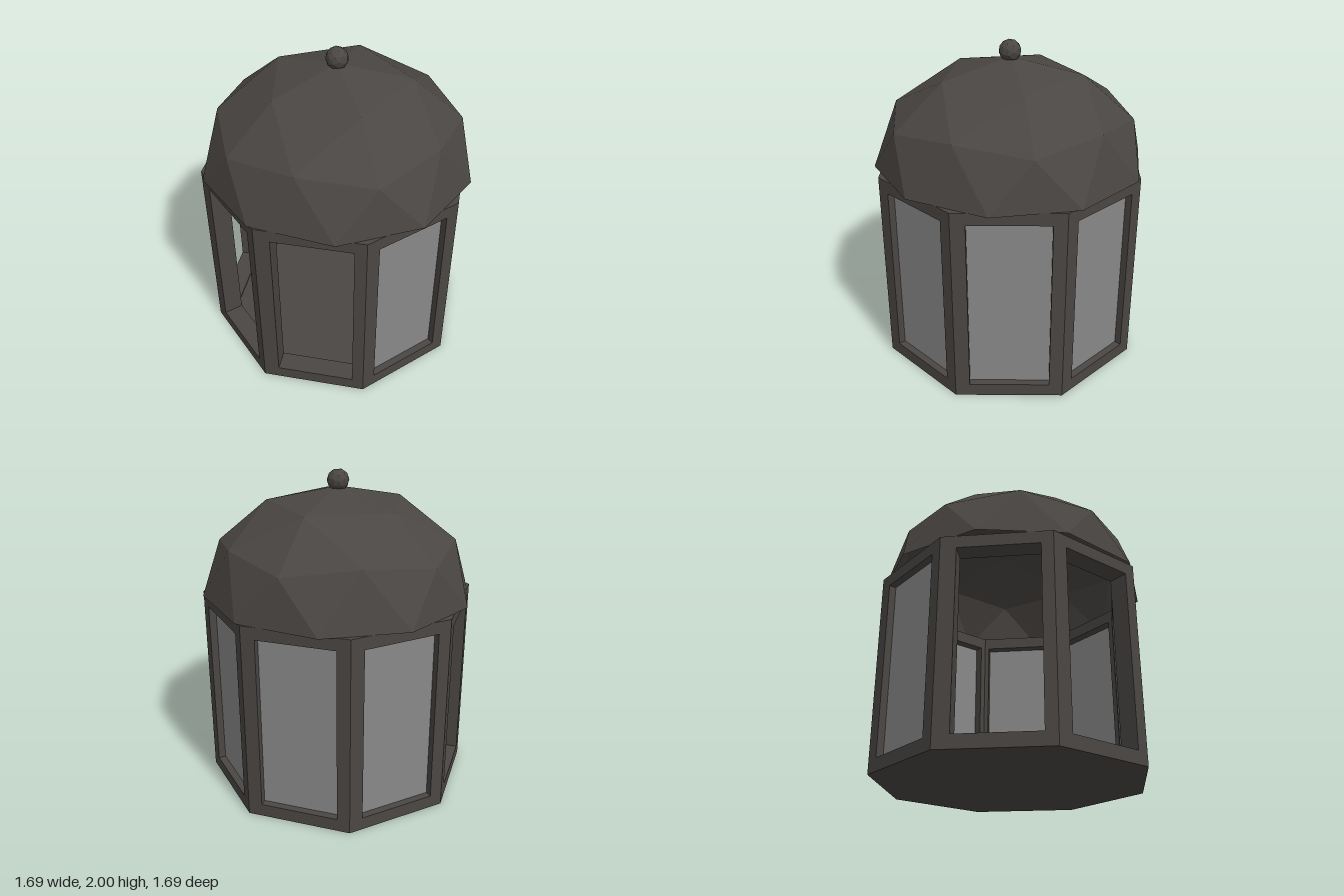
import * as THREE from 'three';

const RADIUS = 0.845, WALL_TOP = 1.247, THICK = 0.125;
const APOTHEM = RADIUS * Math.cos(Math.PI / 8);
const HALF = RADIUS * Math.sin(Math.PI / 8);
const SILL = 0.08, LINTEL = 1.17, MARGIN = 0.083;

const dark = new THREE.MeshStandardMaterial({ color: 0x4a4643, flatShading: true });
const darkShell = new THREE.MeshStandardMaterial({ color: 0x4a4643, flatShading: true, side: THREE.DoubleSide });
const pane = new THREE.MeshStandardMaterial({ color: 0x888888, flatShading: true });

function part(name, geometry, material) {
  const mesh = new THREE.Mesh(geometry, material);
  mesh.name = name;
  return mesh;
}

function rectangle(Type, x0, x1, y0, y1) {
  return new Type([[x0, y0], [x1, y0], [x1, y1], [x0, y1]].map(p => new THREE.Vector2(...p)));
}

// One wall frame with a window hole, its ends mitred to meet its neighbours
function frameGeometry(shift) {
  const shape = rectangle(THREE.Shape, -HALF, HALF, 0, WALL_TOP);
  shape.holes.push(rectangle(THREE.Path, -HALF + MARGIN + shift, HALF - MARGIN + shift, SILL, LINTEL));
  const geo = new THREE.ExtrudeGeometry(shape, { depth: THICK, bevelEnabled: false });
  const pos = geo.attributes.position;
  const miter = THICK * Math.tan(Math.PI / 8);
  for (let i = 0; i < pos.count; i++) {
    const x = pos.getX(i);
    if (pos.getZ(i) < 0.001 && Math.abs(x) > HALF - 0.001) pos.setX(i, x - Math.sign(x) * miter);
  }
  geo.translate(0, 0, APOTHEM - THICK);
  geo.computeVertexNormals();
  return geo;
}

// Faceted half-dome: a once-divided icosahedron with a vertex at the top
function domeGeometry() {
  const height = 0.65, out = [];
  const at = (polar, azimuth) => {
    const p = THREE.MathUtils.degToRad(polar), a = THREE.MathUtils.degToRad(azimuth);
    const r = RADIUS * Math.sin(p);
    return [r * Math.sin(a), WALL_TOP + height * Math.cos(p), r * Math.cos(a)];
  };
  for (let k = 0; k < 5; k++) {
    const a = 6 + 72 * k;
    const top = at(0, 0);
    const upper = at(31.72, a), upperNext = at(31.72, a + 72);
    const corner = at(63.43, a), cornerNext = at(63.43, a + 72);
    const middle = at(58.28, a + 36);
    const rimBefore = at(90, a - 18), rim1 = at(90, a + 18), rim2 = at(90, a + 54);
    out.push(
      top, upper, upperNext,
      upper, corner, middle,
      upper, middle, upperNext,
      upperNext, middle, cornerNext,
      corner, rimBefore, rim1,
      corner, rim1, middle,
      middle, rim1, rim2,
      middle, rim2, cornerNext
    );
  }
  const geo = new THREE.BufferGeometry();
  geo.setAttribute('position', new THREE.Float32BufferAttribute(out.flat(), 3));
  geo.computeVertexNormals();
  return geo;
}

export function createModel() {
  const model = new THREE.Group();
  model.name = 'lantern';

  // Eight walls: five glazed, three left open
  for (let k = 0; k < 8; k++) {
    const open = k >= 5;
    const wall = new THREE.Group();
    wall.name = open ? 'openWall' : 'glazedWall';
    wall.add(part('wallFrame', frameGeometry(open ? 0.012 : 0.003), dark));
    if (!open) {
      const glass = part('windowPane',
        new THREE.BoxGeometry(2 * (HALF - MARGIN) + 0.02, LINTEL - SILL + 0.02, 0.02), pane);
      glass.position.set(0, (SILL + LINTEL) / 2, APOTHEM - 0.055);
      wall.add(glass);
    }
    wall.rotation.y = Math.PI / 8 + k * Math.PI / 4;
    model.add(wall);
  }

  // Floor inside the sills
  const floor = part('floor', new THREE.CylinderGeometry(0.74, 0.74, 0.07, 8), dark);
  floor.position.y = 0.035;
  model.add(floor);

  // Roof and its knob
  model.add(part('domeRoof', domeGeometry(), darkShell));
  const knob = part('roofKnob', new THREE.IcosahedronGeometry(0.068, 1), dark);
  knob.rotation.x = Math.atan(2 / (1 + Math.sqrt(5)));
  knob.position.y = 1.932;
  model.add(knob);

  return model;
}
